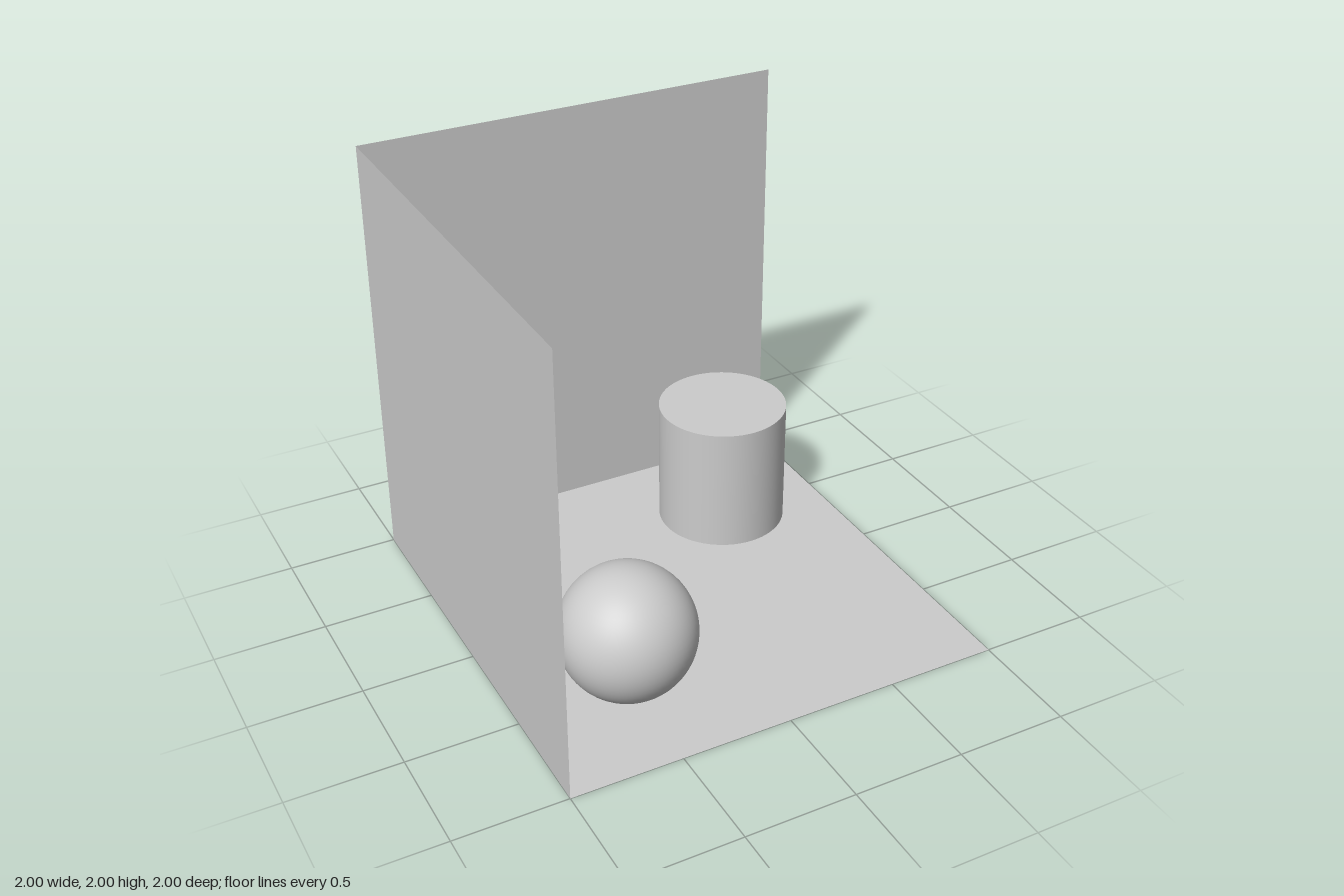
import * as THREE from 'three';

export function createModel() {
  const group = new THREE.Group();
  const solid = new THREE.MeshStandardMaterial({ color: 0xcccccc });
  const sheet = new THREE.MeshStandardMaterial({ color: 0xcccccc, side: THREE.DoubleSide });

  function add(name, geometry, material, x, y, z) {
    const mesh = new THREE.Mesh(geometry, material);
    mesh.name = name;
    mesh.position.set(x, y, z);
    group.add(mesh);
    return mesh;
  }

  // Open corner of a room: three thin square sheets
  const square = new THREE.PlaneGeometry(2, 2);
  add('floor', square, sheet, 0, 0, 0).rotation.x = -Math.PI / 2;
  add('backWall', square, sheet, 0, 1, -1);
  add('sideWall', square, sheet, -1, 1, 0).rotation.y = Math.PI / 2;

  // Solids resting on the floor
  add('sphere', new THREE.SphereGeometry(0.3, 64, 32), solid, -0.5, 0.3, 0.5);
  add('cylinder', new THREE.CylinderGeometry(0.3, 0.3, 0.6, 64), solid, 0.5, 0.3, -0.5);

  return group;
}
